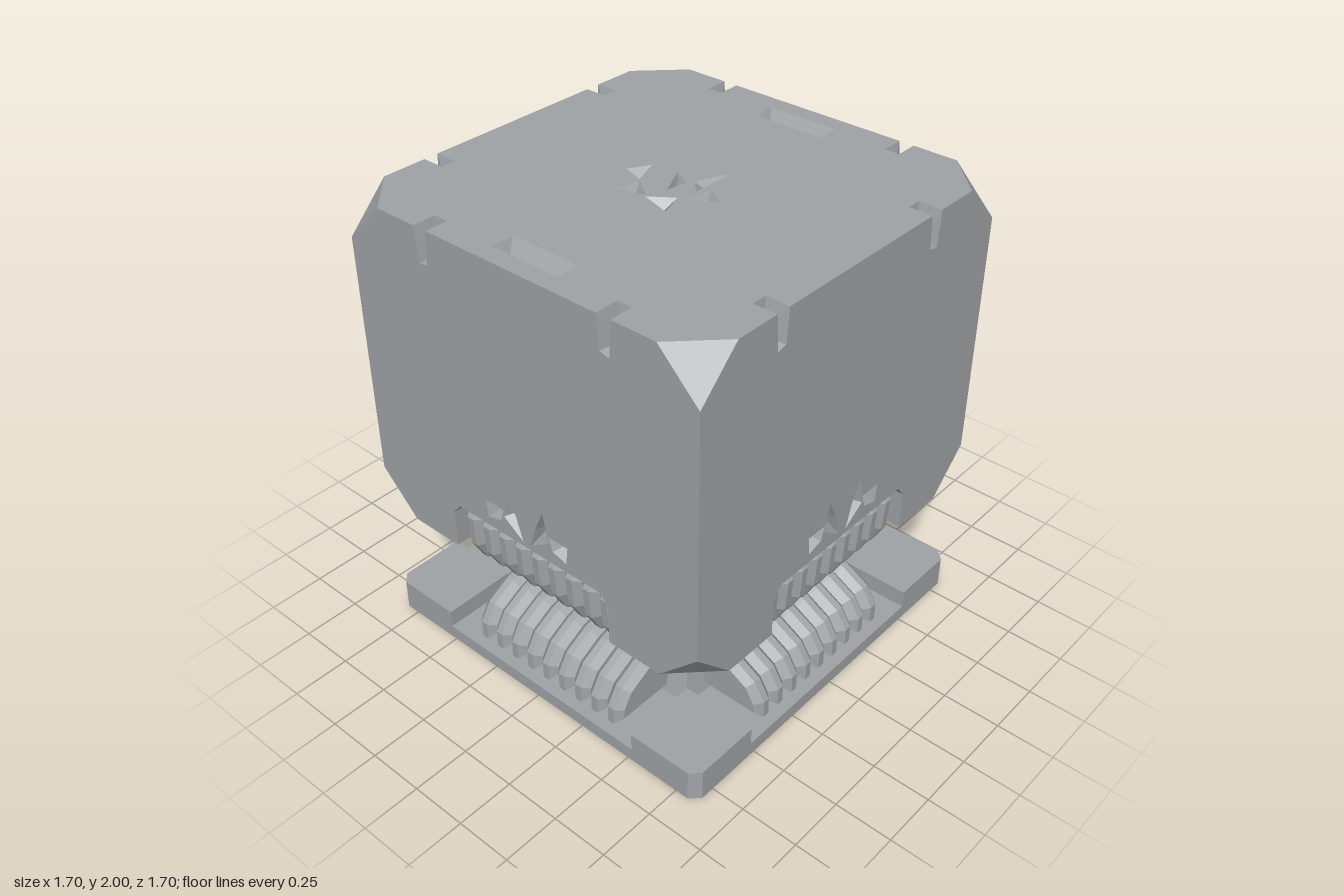
import * as THREE from 'three';
import { mergeGeometries } from 'three/addons/utils/BufferGeometryUtils.js';

const H = 0.85, TOP = 2, LOW = 0.57, CUT = 0.18, SLOT = 0.42, SLOT_TOP = 0.79;
const mat = new THREE.MeshStandardMaterial({ color: 0xa1a4a7, flatShading: true, side: THREE.DoubleSide });

const shapeOf = (pts, holes = []) => {
  const s = new THREE.Shape(pts.map(p => new THREE.Vector2(...p)));
  s.holes = holes.map(h => new THREE.Path(h.map(p => new THREE.Vector2(...p))));
  return s;
};
const flat = (pts, holes) => new THREE.ShapeGeometry(shapeOf(pts, holes));

// flat polygons given as corner lists, fanned from their first corner
function polys(list) {
  const v = [];
  for (const p of list)
    for (let i = 1; i < p.length - 1; i++) v.push(...p[0], ...p[i], ...p[i + 1]);
  const g = new THREE.BufferGeometry();
  g.setAttribute('position', new THREE.Float32BufferAttribute(v, 3));
  g.computeVertexNormals();
  return g;
}

// dent under a polygonal hole: a fan going down to a sunken centre
function dent(pts, depth) {
  const c = [0, 1].map(k => pts.reduce((s, p) => s + p[k], 0) / pts.length);
  return polys(pts.map((p, i) => [[...p, 0], [...pts[(i + 1) % pts.length], 0], [...c, -depth]]));
}

function merge(list) {
  return mergeGeometries(list.map(g => {
    const n = g.index ? g.toNonIndexed() : g;
    n.deleteAttribute('uv');
    return n;
  }));
}

// repeat one side's plan points around all four sides
function around(pts) {
  const out = [];
  for (let k = 0; k < 4; k++)
    for (const [x, y] of pts) {
      const c = [1, 0, -1, 0][k], s = [0, 1, 0, -1][k];
      out.push([x * c - y * s, x * s + y * c]);
    }
  return out;
}

function add(parent, name, geometry) {
  const m = new THREE.Mesh(geometry, mat);
  m.name = name;
  parent.add(m);
  return m;
}

const extrudeUp = (shape, y, h) => new THREE.ExtrudeGeometry(shape, { depth: h, bevelEnabled: false })
  .rotateX(-Math.PI / 2).translate(0, y, 0);

// one wall of the big block with its star dents, edge notches and lower slot
function sideWall() {
  const c = H - CUT, n0 = 0.41, n1 = 0.475;
  const flip = pts => pts.map(([x, y]) => [-x, y]).reverse();
  const right = [
    [SLOT - 0.04, SLOT_TOP], [SLOT, SLOT_TOP - 0.05], [SLOT, LOW],
    [c, LOW], [H, LOW + CUT], [H, TOP - CUT], [c, TOP],
    [n1, TOP], [n1 - 0.01, 1.85], [n0 + 0.01, 1.86], [n0, TOP],
  ];
  const spikes = [
    [[0.02, 0.81], [0.12, 0.88], [0.095, 1.01], [0.05, 0.91]],
    [[0.12, 0.91], [0.14, 0.85], [0.21, 0.83], [0.22, 0.91]],
  ];
  const holes = [...spikes, ...spikes.map(flip)];
  const parts = [flat([...right, ...flip(right)], holes), ...holes.map(h => dent(h, 0.06))];
  // slot lining
  const edge = [...flip(right.slice(0, 3)), ...right.slice(0, 3)];
  for (let i = 0; i < edge.length - 1; i++) {
    const [a, b] = [edge[i], edge[i + 1]];
    parts.push(polys([[[...a, 0], [...b, 0], [...b, -0.39], [...a, -0.39]]]));
  }
  // notch lining, sunken towards one low point
  for (const s of [-1, 1]) {
    const A = [s * n0, TOP, 0], B = [s * n1, TOP, 0];
    const C = [s * (n0 + 0.01), 1.86, 0], D = [s * (n1 - 0.01), 1.85, 0];
    const E = [s * n0, TOP, -0.1], F = [s * n1, TOP, -0.1];
    const M = [s * (n0 + n1) / 2, 1.87, -0.08];
    parts.push(polys([[M, A, C], [M, E, A], [M, D, B], [M, B, F], [M, C, D], [M, F, E]]));
  }
  // bevelled corners, top and bottom
  parts.push(polys([
    [[c, TOP, 0], [H, TOP - CUT, 0], [H, TOP, -CUT]],
    [[c, LOW, 0], [H, LOW, -CUT], [H, LOW + CUT, 0]],
  ]));
  return merge(parts).translate(0, 0, H);
}

// lid with four V grooves and a broken star
function topFace() {
  const c = H - CUT, a = 0.41, b = 0.475;
  const outline = around([[-c, -H], [-b, -H], [-b, -0.75], [-a, -0.75], [-a, -H],
    [a, -H], [a, -0.75], [b, -0.75], [b, -H], [c, -H]]);
  const grooves = around([[-0.16, -0.77], [0.16, -0.77], [0.16, -0.67], [-0.16, -0.67]]);
  const star = [
    [[-0.03, 0.22], [0.06, 0.17], [-0.06, 0.125]],
    [[-0.17, 0.13], [-0.07, 0.115], [-0.14, 0.02]],
    [[-0.19, -0.12], [-0.15, 0.015], [-0.08, -0.08]],
    [[-0.07, -0.11], [0.05, -0.13], [-0.01, -0.22]],
    [[0.06, -0.04], [0.2, -0.1], [0, -0.1]],
    [[-0.06, -0.01], [0.08, 0.06], [0.03, -0.025]],
  ];
  const rects = [0, 4, 8, 12].map(i => grooves.slice(i, i + 4));
  const parts = [flat(outline, [...rects, ...star]), ...star.map(s => dent(s, 0.04))];
  for (let k = 0; k < 4; k++) {
    const [p, q, r, s] = [[-0.16, -0.77, 0], [0.16, -0.77, 0], [0.16, -0.67, 0], [-0.16, -0.67, 0]];
    const m = [-0.13, -0.72, -0.06], n = [0.13, -0.72, -0.06];
    parts.push(polys([[p, q, n, m], [m, n, r, s], [q, r, n], [s, p, m]]).rotateZ(k * Math.PI / 2));
  }
  return merge(parts).rotateX(-Math.PI / 2).translate(0, TOP, 0);
}

// ribbed pad made of bevelled slices of one side profile (outward, up)
function ribs(parent, name, profile) {
  const N = 9, pitch = 0.82 / N, bevel = 0.03;
  const slice = new THREE.ExtrudeGeometry(shapeOf(profile), {
    depth: pitch - 2 * bevel, bevelThickness: bevel, bevelSize: 0.03, bevelOffset: -0.03, bevelSegments: 1,
  }).rotateY(-Math.PI / 2);
  const group = new THREE.Group();
  group.name = name;
  for (let i = 0; i < N; i++)
    add(group, 'rib', slice).position.x = (i - (N - 1) / 2) * pitch + pitch / 2 - bevel;
  parent.add(group);
}

// square tapering piece between two heights
function taper(y0, half0, y1, half1) {
  return new THREE.CylinderGeometry(half1 * Math.SQRT2, half0 * Math.SQRT2, y1 - y0, 4)
    .rotateY(Math.PI / 4).translate(0, (y0 + y1) / 2, 0);
}

export function createModel() {
  const model = new THREE.Group();
  model.name = 'cubeOnPedestal';

  // big block
  const block = new THREE.Group();
  block.name = 'block';
  model.add(block);
  const wall = sideWall();
  add(block, 'topFace', topFace());
  const c = H - CUT;
  add(block, 'underside', flat(around([[-c, -H], [-SLOT, -H], [-SLOT, -0.46],
    [SLOT, -0.46], [SLOT, -H], [c, -H]])).rotateX(Math.PI / 2).translate(0, LOW, 0));

  // base plate with pits below, and raised corner blocks
  const star = Array.from({ length: 12 }, (_, i) => {
    const r = i % 2 ? 0.05 : 0.13, a = i * Math.PI / 6;
    return [r * Math.cos(a), r * Math.sin(a)];
  });
  const pits = around([[0.62, 0.78], [0.78, 0.62], [0.78, 0.78]]);
  const plate = shapeOf(around([[-0.81, -H], [0.81, -H]]),
    [star, ...[0, 3, 6, 9].map(i => pits.slice(i, i + 3))]);
  add(model, 'basePlate', extrudeUp(plate, 0, 0.06));
  const corner = extrudeUp(shapeOf([[0.52, 0.52], [H, 0.52], [H, 0.81], [0.81, H], [0.52, H]]), 0.06, 0.08);

  // core, neck and spreading shoulders
  add(model, 'core', new THREE.BoxGeometry(0.84, 0.72, 0.84).translate(0, 0.42, 0));
  add(model, 'lowerShoulder', taper(0.06, 0.53, 0.3, 0.47));
  add(model, 'upperShoulder', taper(0.4, 0.46, LOW, 0.52));
  add(model, 'neck', extrudeUp(shapeOf(around([[-0.52, -0.55], [0.52, -0.55]])), 0.29, 0.12));

  const lower = [[0.4, 0.06], [0.8, 0.06], [0.8, 0.14], [0.75, 0.22], [0.64, 0.28], [0.54, 0.31], [0.4, 0.31]];
  const upper = [[0.4, 0.4], [0.54, 0.4], [0.66, 0.445], [0.76, 0.49], [0.81, 0.58],
    [0.82, 0.72], [0.78, 0.785], [0.4, 0.785]];

  // four matching sides
  for (let k = 0; k < 4; k++) {
    const side = new THREE.Group();
    side.name = 'side' + (k + 1);
    side.rotation.y = k * Math.PI / 2;
    add(side, 'wall', wall);
    add(side, 'cornerBlock', corner);
    ribs(side, 'lowerRibs', lower);
    ribs(side, 'upperRibs', upper);
    model.add(side);
  }
  return model;
}
